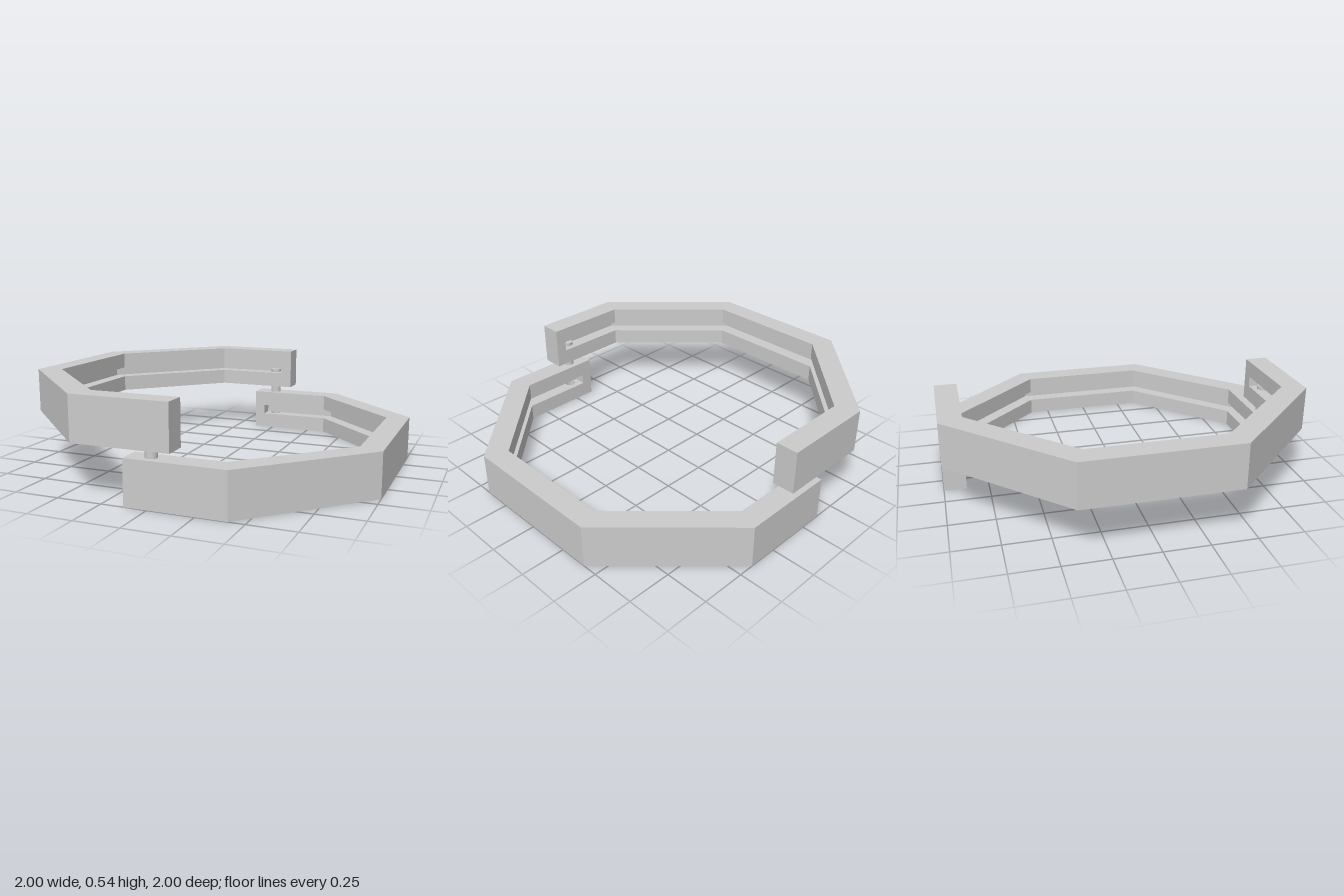
import * as THREE from 'three';

const OUTER = 1, INNER = 0.875, GROOVE = 0.953; // octagon apothems
const END = -0.125, GROOVE_END = -0.06;         // ends of the arms and of the groove
const HEIGHT = 0.245, LIP = 0.0925, UPPER_Y = 0.29;
const PIN_Z = 0.9375, PIN_R = 0.032;
const K = Math.tan(Math.PI / 8);

// Four octagon corners on the +x half at a given apothem
const corners = a => [[a * K, -a], [a, -a * K], [a, a * K], [a * K, a]];

// Half-ring plan; a grooved plan keeps solid blocks at the arm ends
function plan(grooved) {
  const pts = [[END, -OUTER], ...corners(OUTER), [END, OUTER], [END, INNER]];
  if (grooved) {
    pts.push([GROOVE_END, INNER], [GROOVE_END, GROOVE], ...corners(GROOVE).reverse(),
      [GROOVE_END, -GROOVE], [GROOVE_END, -INNER]);
  } else {
    pts.push(...corners(INNER).reverse());
  }
  pts.push([END, -INNER]);
  return new THREE.Shape(pts.map(([x, y]) => new THREE.Vector2(x, y)));
}

function layer(name, shape, y, depth, material) {
  const geo = new THREE.ExtrudeGeometry(shape, { depth, bevelEnabled: false, curveSegments: 16 });
  geo.rotateX(-Math.PI / 2);
  const mesh = new THREE.Mesh(geo, material);
  mesh.name = name;
  mesh.position.y = y;
  return mesh;
}

// Half octagon with a groove along its inner face
function halfRing(name, withHoles, material) {
  const group = new THREE.Group();
  group.name = name;
  const bottom = plan(false);
  if (withHoles) {
    for (const s of [-1, 1]) {
      bottom.holes.push(new THREE.Path().absarc(0, s * PIN_Z, PIN_R, 0, Math.PI * 2, true));
    }
  }
  group.add(
    layer('bottomLip', bottom, 0, LIP, material),
    layer('grooveWall', plan(true), LIP, HEIGHT - 2 * LIP, material),
    layer('topLip', plan(false), HEIGHT - LIP, LIP, material)
  );
  return group;
}

export function createModel() {
  const model = new THREE.Group();
  model.name = 'hingedOctagonRing';
  const material = new THREE.MeshStandardMaterial({ color: 0xcccccc });

  const lower = halfRing('lowerHalfRing', true, material);
  const upper = halfRing('upperHalfRing', false, material);
  upper.rotation.y = Math.PI;
  upper.position.y = UPPER_Y;
  model.add(lower, upper);

  // Pins joining the overlapping arms, showing a little in the upper groove
  const y0 = HEIGHT - LIP, y1 = UPPER_Y + LIP + 0.02;
  const pinGeo = new THREE.CylinderGeometry(PIN_R, PIN_R, y1 - y0, 32);
  for (const s of [-1, 1]) {
    const pin = new THREE.Mesh(pinGeo, material);
    pin.name = s > 0 ? 'frontPin' : 'backPin';
    pin.position.set(0, (y0 + y1) / 2, s * PIN_Z);
    model.add(pin);
  }
  return model;
}
